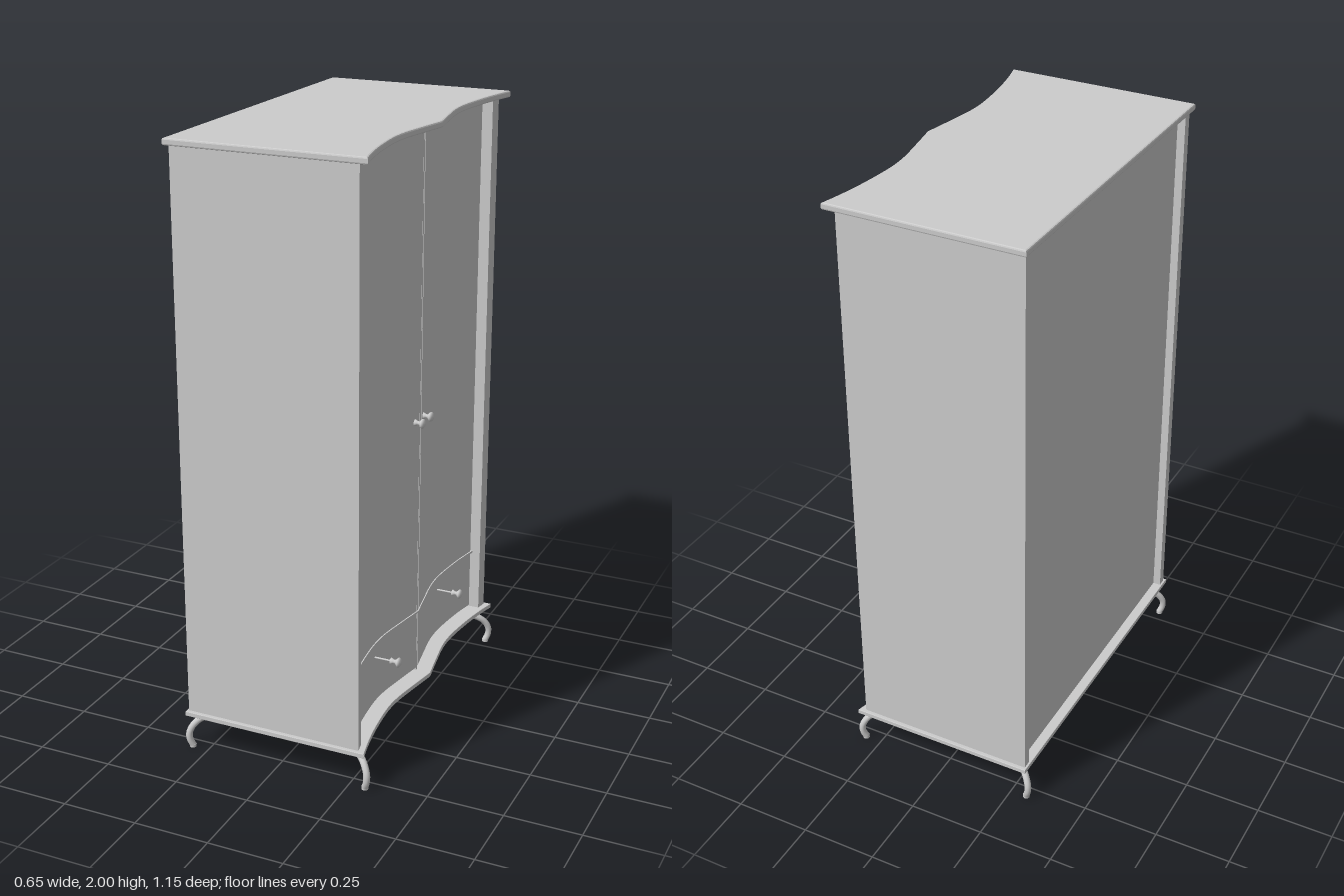
import * as THREE from 'three';
import { toCreasedNormals } from 'three/addons/utils/BufferGeometryUtils.js';

const mat = new THREE.MeshStandardMaterial({ color: 0xcccccc });

// Half of the wavy front edge as (z, x); it mirrors about z = 0
const wave = new THREE.CatmullRomCurve3([
  [0, 0.313], [0.1, 0.295], [0.2, 0.279], [0.27, 0.276], [0.4, 0.288], [0.5, 0.305], [0.58, 0.324],
].map(([z, x]) => new THREE.Vector3(x, 0, z))).getSpacedPoints(60);

function frontX(z) {
  const a = Math.abs(z);
  let i = 1;
  while (i < wave.length - 1 && wave[i].z < a) i++;
  const p = wave[i - 1], q = wave[i];
  return p.x + (q.x - p.x) * (a - p.z) / (q.z - p.z);
}

// Points along the wavy front between two z values
function frontPoints(z0, z1, inset) {
  const n = Math.max(4, 2 * Math.round((z1 - z0) / 0.05));
  return Array.from({ length: n + 1 }, (_, i) => {
    const z = z0 + (z1 - z0) * i / n;
    return new THREE.Vector2(frontX(z) - inset, z);
  });
}

// Upright prism from an outline in (x, z)
function prism(name, outline, y0, y1, bevel = 0) {
  const geo = new THREE.ExtrudeGeometry(new THREE.Shape(outline), {
    depth: y1 - y0 - 2 * bevel, bevelEnabled: bevel > 0, bevelSize: bevel,
    bevelThickness: bevel, bevelOffset: -bevel, bevelSegments: 2,
  });
  geo.rotateX(-Math.PI / 2).translate(0, y0 + bevel, 0);
  const mesh = new THREE.Mesh(toCreasedNormals(geo, 0.2), mat);
  mesh.name = name;
  return mesh;
}

// Wavy-fronted solid reaching back to a flat rear edge
function wavyBlock(name, halfZ, backX, inset, y0, y1, bevel) {
  const outline = [new THREE.Vector2(backX, -halfZ), ...frontPoints(-halfZ, halfZ, inset), new THREE.Vector2(backX, halfZ)];
  return prism(name, outline, y0, y1, bevel);
}

// Thin curved panel that follows the wave
function wavyPanel(name, z0, z1, inset, thickness, y0, y1) {
  const outline = [...frontPoints(z0, z1, inset), ...frontPoints(z0, z1, inset + thickness).reverse()];
  return prism(name, outline, y0, y1);
}

// Turned knob pointing along +x, on a slim pin that reaches into the panel
function knob(name, tipX, y, z, length) {
  const profile = [[0.003, -length], [0.003, -0.036], [0.011, -0.035], [0.007, -0.026], [0.006, -0.02], [0.011, -0.015],
    [0.016, -0.01], [0.0155, -0.006], [0.01, -0.001], [0, 0]].map(([r, h]) => new THREE.Vector2(r, h));
  const mesh = new THREE.Mesh(new THREE.LatheGeometry(profile, 20), mat);
  mesh.rotation.z = -Math.PI / 2;
  mesh.position.set(tipX, y, z);
  mesh.name = name;
  return mesh;
}

// Bent rod: a rail under the base that curls out and down into a foot at each end
function legRod(side) {
  const half = [[0.306, 0.006, 0.54], [0.314, 0.03, 0.546], [0.314, 0.055, 0.545], [0.303, 0.08, 0.536],
    [0.284, 0.099, 0.522], [0.255, 0.111, 0.508], [0.225, 0.114, 0.503], [0.1, 0.114, 0.503]];
  const points = [...half, ...half.map(([x, y, z]) => [-x, y, z]).reverse()]
    .map(([x, y, z]) => new THREE.Vector3(x, y, z * side));
  const path = new THREE.CatmullRomCurve3(points, false, 'centripetal');
  const g = new THREE.Group();
  g.name = 'legs';
  g.add(new THREE.Mesh(new THREE.TubeGeometry(path, 110, 0.011, 12), mat));
  for (const p of [points[0], points[points.length - 1]]) {
    const pad = new THREE.Mesh(new THREE.CylinderGeometry(0.011, 0.011, 0.01, 16), mat);
    pad.position.set(p.x, 0.005, p.z);
    pad.name = 'footPad';
    g.add(pad);
  }
  return g;
}

export function createModel() {
  const model = new THREE.Group();
  model.name = 'wardrobe';
  const inset = 0.056;

  // Top and base boards
  model.add(wavyBlock('topBoard', 0.574, -0.319, 0, 1.978, 2.0, 0.005));
  model.add(wavyBlock('baseBoard', 0.567, -0.315, 0.007, 0.124, 0.14, 0.002));

  // Carcass between the side walls, with its back set in from their rear edges
  model.add(wavyBlock('carcass', 0.53, -0.282, inset + 0.01, 0.138, 1.982, 0));

  for (const s of [-1, 1]) {
    const name = s > 0 ? 'left' : 'right';

    // Side wall standing proud of the doors and the back
    const wall = [[-0.308, 0.525], [0.2, 0.525], [0.2, 0.519], [0.283, 0.519], [0.29, 0.555], [-0.308, 0.555]]
      .map(([x, z]) => new THREE.Vector2(x, z * s));
    model.add(prism(name + 'Side', wall, 0.138, 1.982));

    // Door and drawer front
    const z0 = s > 0 ? 0.007 : -0.508, z1 = s > 0 ? 0.508 : -0.007;
    model.add(wavyPanel(name + 'Door', z0, z1, inset, 0.018, 0.362, 1.968));
    model.add(wavyPanel(name + 'Drawer', z0, z1, inset, 0.018, 0.15, 0.353));
    model.add(knob(name + 'DoorKnob', 0.286, 1.04, 0.035 * s, 0.045));
    model.add(knob(name + 'DrawerKnob', 0.311, 0.31, 0.27 * s, 0.1));

    model.add(legRod(s));
  }

  // Centre strip between the doors and rail above the drawers
  model.add(wavyPanel('centreStrip', -0.004, 0.004, inset + 0.001, 0.016, 0.14, 1.98));
  model.add(wavyPanel('drawerRail', -0.519, 0.519, inset - 0.003, 0.02, 0.354, 0.361));

  return model;
}
